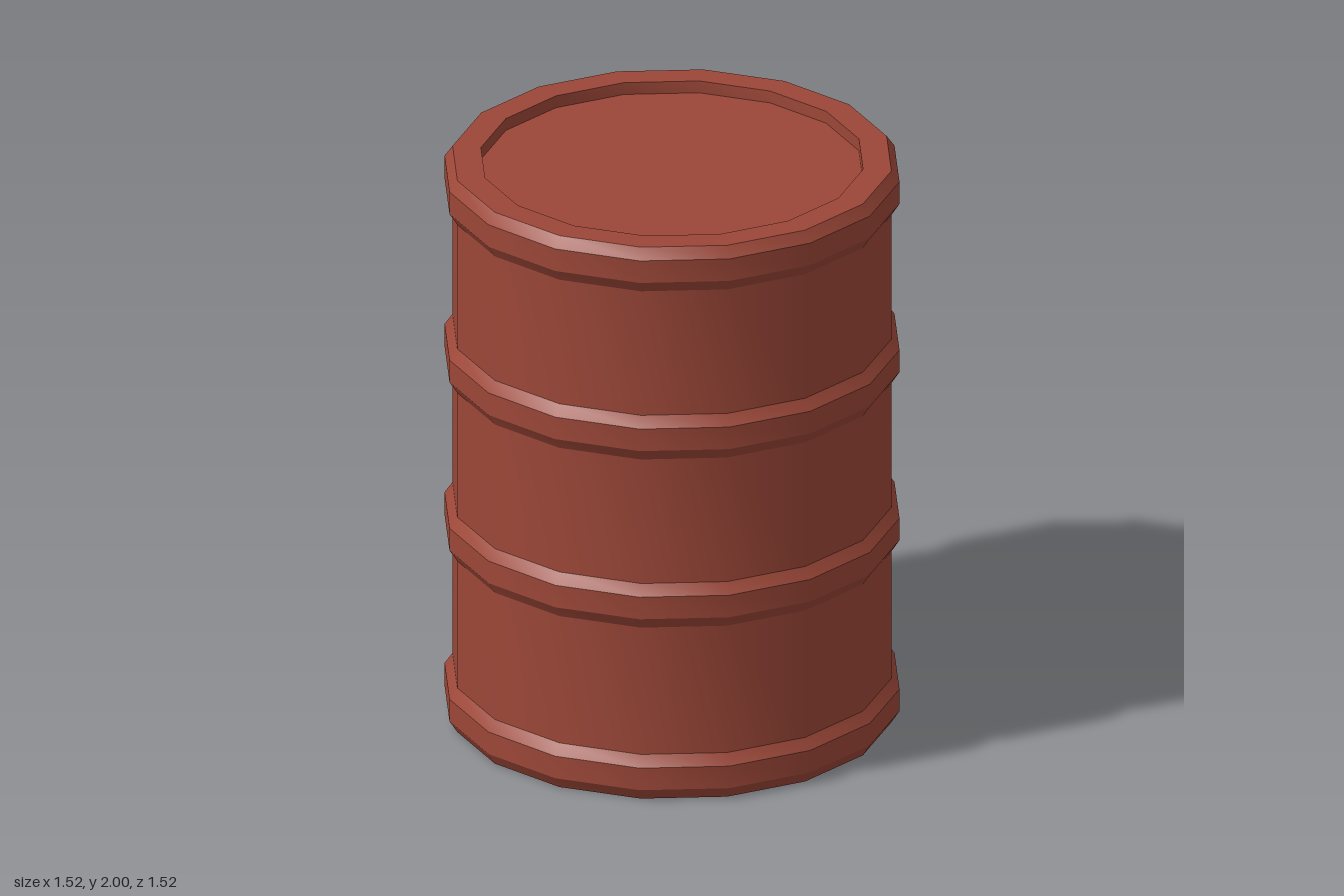
import * as THREE from 'three';
import { toCreasedNormals } from 'three/addons/utils/BufferGeometryUtils.js';

const SIDES = 16;
const BODY_R = 0.735, HOOP_R = 0.762, LID_R = 0.64, RECESS = 0.043;
const HOOP_H = 0.16;
const HOOP_BOTTOMS = [0, 0.62, 1.23, 1.84];

export function createModel() {
  const group = new THREE.Group();
  group.name = 'barrel';
  const material = new THREE.MeshStandardMaterial({ color: 0x9c4738 });

  // Shell: recessed base rim, wall with four bevelled hoops, recessed top rim
  const profile = [[LID_R, RECESS], [LID_R, 0]];
  for (const y of HOOP_BOTTOMS) {
    profile.push([BODY_R, y], [HOOP_R, y + 0.042], [HOOP_R, y + HOOP_H - 0.038], [BODY_R, y + HOOP_H]);
  }
  profile.push([LID_R, 2], [LID_R, 2 - RECESS]);
  const lathe = new THREE.LatheGeometry(profile.map(([r, y]) => new THREE.Vector2(r, y)), SIDES);
  // Smooth around the barrel, sharp along the hoop bevels
  const shell = new THREE.Mesh(toCreasedNormals(lathe, 0.5), material);
  shell.name = 'shell';
  group.add(shell);

  // Sunken discs closing both ends
  const addDisc = (name, y, tilt) => {
    const disc = new THREE.Mesh(new THREE.CircleGeometry(LID_R, SIDES).rotateX(tilt), material);
    disc.position.y = y;
    disc.name = name;
    group.add(disc);
  };
  addDisc('lid', 2 - RECESS, -Math.PI / 2);
  addDisc('base', RECESS, Math.PI / 2);

  return group;
}
